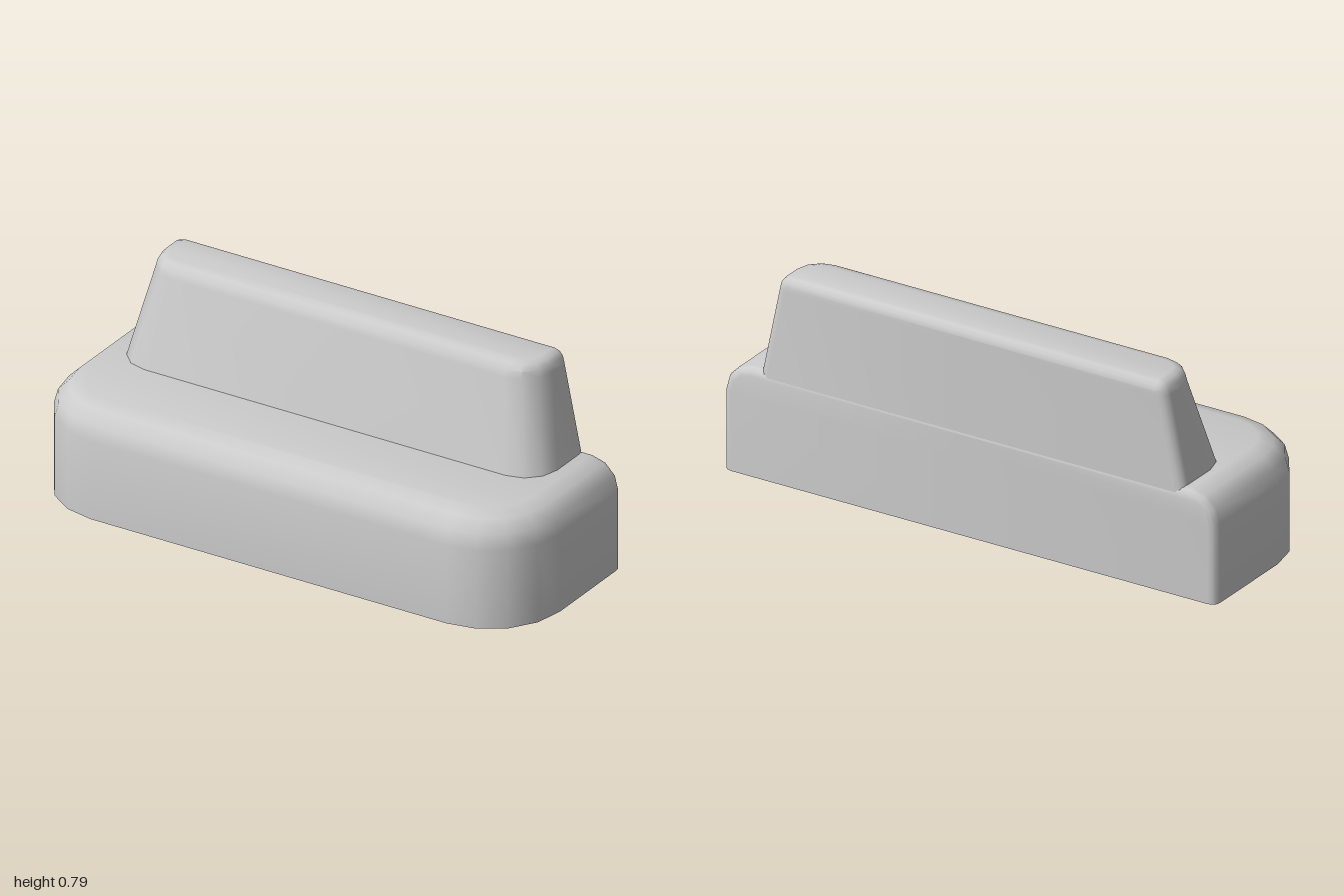
import * as THREE from 'three';
import { toCreasedNormals } from 'three/addons/utils/BufferGeometryUtils.js';

// Quarter-round top edge: profile points of inset, height, plan corner radius, normal angle
function bevel(inset, y, b, h, radius) {
  return [0, 1, 2, 3].map(n => {
    const a = n * Math.PI / 6, d = b * (1 - Math.cos(a));
    return { i: inset + d, y: y + h * Math.sin(a), r: radius - d, a };
  });
}

// Open-bottomed block: flat back with a small fillet, large rounded front corners.
// Each row is an arch from the left foot over the top to the right foot.
function roundedBlock({ halfX, front, back, fillet, sideInset, cornerSteps, profile }) {
  const rows = [];
  const addRow = at => {
    const half = profile.map(at);
    rows.push([
      ...half.map(([x, y, z]) => new THREE.Vector3(-x, y, z)),
      ...half.reverse().map(([x, y, z]) => new THREE.Vector3(x, y, z)),
    ]);
  };
  // Back fillet, wrapping the sides and the top
  const backPoint = (p, phi) => {
    const d = fillet * (1 - Math.cos(phi));
    return [
      halfX - p.i * sideInset - d * Math.cos(p.a),
      p.y - d * Math.sin(p.a),
      back + fillet * (1 - Math.sin(phi)),
    ];
  };
  // Rounded front corners
  const frontPoint = (p, t) => [
    halfX - p.i * sideInset - p.r * (1 - Math.cos(t)),
    p.y,
    front - p.i - p.r * (1 - Math.sin(t)),
  ];
  const centred = ([, y, z]) => [0, y, z];

  addRow(p => centred(backPoint(p, Math.PI / 2)));
  for (let n = 3; n >= 0; n--) addRow(p => backPoint(p, n * Math.PI / 6));
  for (let n = 0; n <= cornerSteps; n++) addRow(p => frontPoint(p, n / cornerSteps * Math.PI / 2));
  addRow(p => centred(frontPoint(p, Math.PI / 2)));

  // Join neighbouring rows, leaving out collapsed triangles
  const points = [];
  const triangle = (a, b, c) => {
    if (new THREE.Triangle(a, b, c).getArea() > 1e-8) points.push(a, b, c);
  };
  for (let r = 0; r < rows.length - 1; r++) {
    for (let c = 0; c < rows[r].length - 1; c++) {
      const a = rows[r][c], b = rows[r][c + 1], d = rows[r + 1][c], e = rows[r + 1][c + 1];
      triangle(a, d, b);
      triangle(b, d, e);
    }
  }
  return toCreasedNormals(new THREE.BufferGeometry().setFromPoints(points), 0.7);
}

export function createModel() {
  const model = new THREE.Group();
  model.name = 'bench';
  const material = new THREE.MeshStandardMaterial({ color: 0xcccccc, side: THREE.DoubleSide });

  // Hollow seat block
  const seat = new THREE.Mesh(roundedBlock({
    halfX: 1, front: 0.337, back: -0.337, fillet: 0.03, sideInset: 1, cornerSteps: 4,
    profile: [{ i: 0, y: 0, r: 0.28, a: 0 }, ...bevel(0, 0.3, 0.11, 0.11, 0.28)],
  }), material);
  seat.name = 'seat';

  // Tapered backrest, flush with the back of the seat
  const backrest = new THREE.Mesh(roundedBlock({
    halfX: 0.866, front: -0.022, back: -0.335, fillet: 0.035, sideInset: 0.8, cornerSteps: 3,
    profile: [{ i: 0, y: 0.38, r: 0.13, a: 0 }, ...bevel(0.093, 0.735, 0.055, 0.05, 0.12)],
  }), material);
  backrest.name = 'backrest';
  backrest.position.x = -0.006;

  model.add(seat, backrest);
  return model;
}
